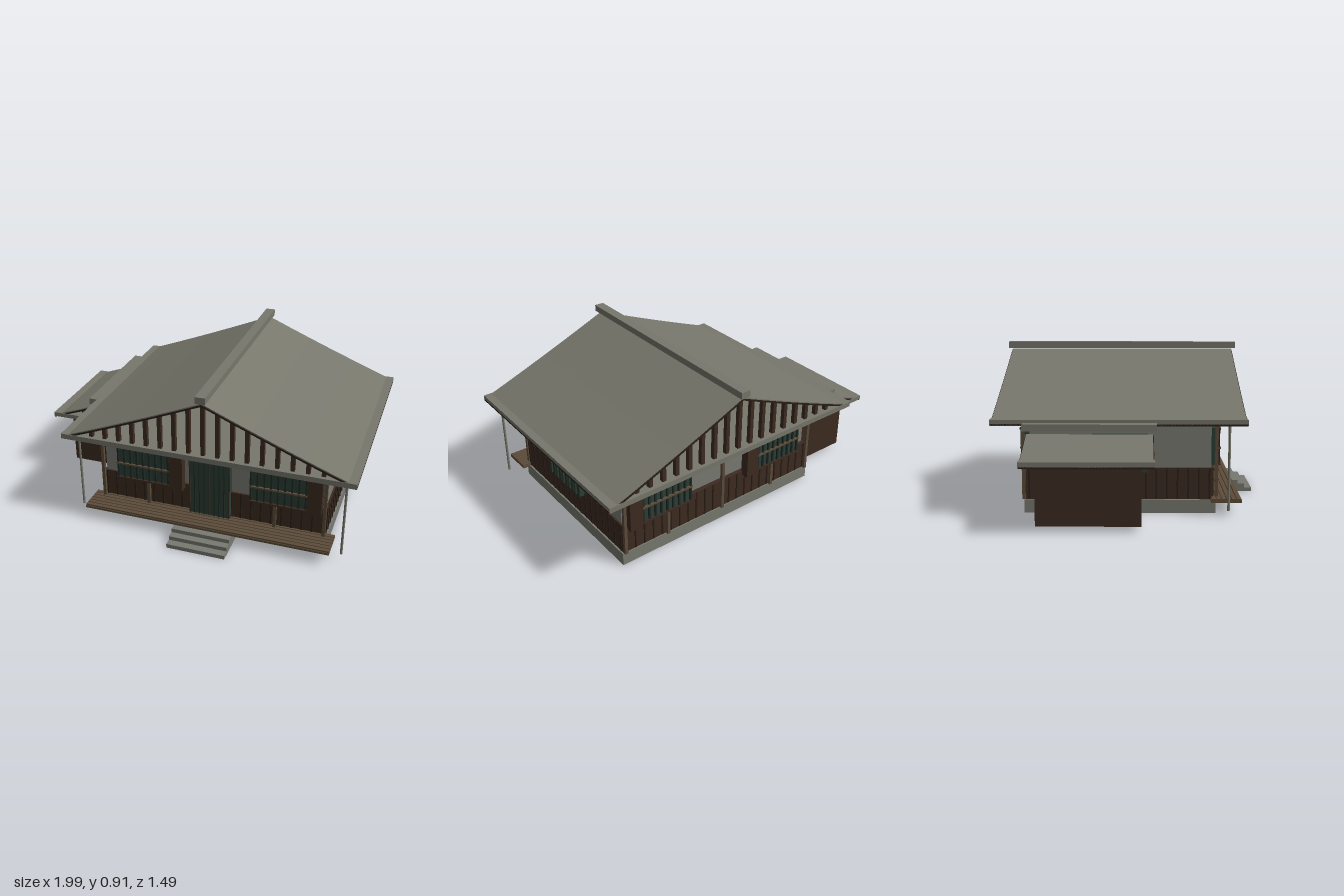
import * as THREE from 'three';

const mat = (name, color) => Object.assign(new THREE.MeshStandardMaterial({ color }), { name });

export function createModel() {
  const M = {
    roof: mat('roof grey', 0x77776c),
    stone: mat('stone grey', 0x787970),
    plaster: mat('plaster grey', 0x7b7b73),
    brown: mat('dark brown wood', 0x3d2b21),
    dark: mat('shadow brown wood', 0x2a1e17),
    trim: mat('tan wood', 0x5d4c3a),
    green: mat('dark green', 0x2c3f37),
    deep: mat('deep green', 0x1f2a25),
  };
  const house = new THREE.Group();
  house.name = 'house';

  const group = (name) => {
    const g = new THREE.Group();
    g.name = name;
    house.add(g);
    return g;
  };
  // Box given by its limits on each axis
  const box = (parent, name, m, x0, x1, y0, y1, z0, z1) => {
    const mesh = new THREE.Mesh(new THREE.BoxGeometry(x1 - x0, y1 - y0, z1 - z0), m);
    mesh.position.set((x0 + x1) / 2, (y0 + y1) / 2, (z0 + z1) / 2);
    mesh.name = name;
    parent.add(mesh);
    return mesh;
  };

  // Gable roof: eave slab, curved slopes, open slatted gables and a ridge cap
  function gableRoof(name, o) {
    const g = group(name);
    const { cx, half, slab, eave, apex, z0, z1 } = o;
    const height = (dx) => {
      const t = 1 - Math.abs(dx) / half;
      return eave + (apex - eave) * t - o.sag * 4 * t * (1 - t);
    };
    const layer = (part, m, top, bottom, za, zb) => {
      const pts = [];
      const n = 12;
      for (let i = 0; i <= n; i++) {
        const dx = -half + (2 * half * i) / n;
        pts.push(new THREE.Vector2(dx, height(dx) - top));
      }
      for (let i = n; i >= 0; i--) {
        const dx = -half + (2 * half * i) / n;
        pts.push(new THREE.Vector2(dx, height(dx) - bottom));
      }
      const geo = new THREE.ExtrudeGeometry(new THREE.Shape(pts), { depth: zb - za, bevelEnabled: false });
      const mesh = new THREE.Mesh(geo, m);
      mesh.position.set(cx, 0, za);
      mesh.name = part;
      g.add(mesh);
    };
    layer('roofSlopes', M.roof, 0, 0.006, z0 + 0.004, z1 - 0.004);
    layer('roofLining', M.dark, 0.006, 0.016, z0, z1);

    box(g, 'eaveSlab', M.roof, cx - half, cx + half, slab[0], slab[1], z0 - 0.003, z1 + 0.003);
    box(g, 'soffit', M.brown, cx - half + 0.02, cx + half - 0.02, slab[0] - 0.004, slab[0], z0 + 0.02, z1 - 0.02);
    box(g, 'ridgeCap', M.roof, cx - 0.028, cx + 0.028, o.cap[0], o.cap[1], z0 - 0.017, z1 + 0.017);

    for (let i = -o.slats; i <= o.slats; i++) {
      const dx = i * o.step;
      const top = height(Math.abs(dx) + 0.012) - 0.012;
      if (top < slab[1] + 0.005) continue;
      for (const z of [z0 + 0.03, z1 - 0.03])
        box(g, 'gableSlat', M.brown, cx + dx - 0.011, cx + dx + 0.011, slab[1], top, z - 0.012, z + 0.012);
    }
  }
  gableRoof('mainRoof', { cx: 0.162, half: 0.832, slab: [0.515, 0.545], eave: 0.528, apex: 0.862,
    sag: 0.006, z0: -0.728, z1: 0.628, cap: [0.868, 0.906], slats: 9, step: 0.082 });
  gableRoof('annexRoof', { cx: -0.705, half: 0.29, slab: [0.36, 0.386], eave: 0.368, apex: 0.475,
    sag: 0.002, z0: -0.537, z1: 0.133, cap: [0.494, 0.53], slats: 2, step: 0.093 });

  // Base and walls
  const body = group('walls');
  box(body, 'foundation', M.stone, -0.51, 0.835, 0, 0.075, -0.577, 0.48);
  box(body, 'plasterWalls', M.plaster, -0.485, 0.815, 0.075, 0.512, -0.545, 0.455);
  box(body, 'lowerBoarding', M.brown, -0.497, 0.825, 0.075, 0.252, -0.57, 0.465);
  box(body, 'annexWalls', M.brown, -0.9, -0.49, 0.035, 0.362, -0.47, 0.07);

  // Cover strips on the lower boarding
  for (let i = 0; i < 23; i++) {
    const x = -0.48 + i * 0.0585;
    for (const z of [0.465, -0.57])
      box(body, 'boardStrip', M.dark, x - 0.004, x + 0.004, 0.078, 0.25, z - 0.004, z + 0.004);
  }
  for (let i = 0; i < 18; i++) {
    const z = -0.55 + i * 0.0585;
    for (const x of [-0.497, 0.825])
      box(body, 'boardStrip', M.dark, x - 0.004, x + 0.004, 0.078, 0.25, z - 0.004, z + 0.004);
  }

  // Timber frame on the front and back
  const frame = group('timberFrame');
  for (const z of [0.483, -0.58]) {
    for (const x of [-0.492, -0.21, 0.162, 0.54, 0.818])
      box(frame, 'wallPost', M.trim, x - 0.009, x + 0.009, 0.076, 0.512, z - 0.009, z + 0.009);
    box(frame, 'topBeam', M.trim, -0.505, 0.83, 0.496, 0.513, z - 0.01, z + 0.01);
    // Ties from the walls to the beam
    for (const x of [-0.492, 0.818])
      box(frame, 'beamEnd', M.trim, x - 0.009, x + 0.009, 0.498, 0.513, Math.min(z, z * 0.93), Math.max(z, z * 0.93));
  }

  // Grilled windows with shutter boxes; side is +1 for the front, -1 for the back
  function grilledWindow(x0, x1, side, zc) {
    const g = group(side > 0 ? 'frontWindow' : 'backWindow');
    const at = (name, m, a, b, y0, y1, d0, d1) => {
      const za = zc + side * d0, zb = zc + side * d1;
      box(g, name, m, a, b, y0, y1, Math.min(za, zb), Math.max(za, zb));
    };
    at('windowPane', M.green, x0, x1, 0.245, 0.455, -0.03, 0.003);
    const n = 8;
    for (let i = 0; i <= n; i++) {
      const x = x0 + ((x1 - x0) * i) / n;
      at('windowBar', M.deep, x - 0.005, x + 0.005, 0.245, 0.457, 0.003, 0.014);
    }
    for (const y of [0.25, 0.343, 0.452])
      at('windowRail', y > 0.3 && y < 0.4 ? M.trim : M.brown, x0 - 0.008, x1 + 0.008, y - 0.005, y + 0.005, 0.006, 0.018);
    at('shutterBox', M.brown, x1 + 0.008, x1 + 0.088, 0.23, 0.46, -0.03, 0.02);
  }
  for (const [side, zc] of [[1, 0.497], [-1, -0.594]]) {
    grilledWindow(-0.385, -0.08, side, zc);
    grilledWindow(0.405, 0.715, side, zc);
  }

  // Slatted side windows
  for (const [name, a, b, face] of [['rightWindow', 0.82, 0.857, 0.857], ['leftWindow', -0.533, -0.49, -0.533]]) {
    const g = group(name);
    box(g, 'sidePane', M.green, a, b, 0.235, 0.442, -0.2, 0.105);
    for (let i = 0; i <= 9; i++) {
      const z = -0.195 + i * 0.0328;
      box(g, 'sideSlat', i % 2 ? M.green : M.deep, face - 0.008, face + 0.008, 0.235, 0.442, z - 0.004, z + 0.004);
    }
  }

  // Front door of upright slats
  const door = group('frontDoor');
  box(door, 'doorPanel', M.green, 0.042, 0.282, 0.09, 0.455, 0.455, 0.494);
  for (let i = 0; i <= 8; i++) {
    const x = 0.046 + i * 0.029;
    box(door, 'doorSlat', i % 4 ? M.deep : M.brown, x - 0.003, x + 0.003, 0.09, 0.455, 0.494, 0.5);
  }

  // Porch deck, its planks and the two slim roof posts
  const porch = group('porch');
  box(porch, 'deckBase', M.trim, -0.555, 0.878, 0.07, 0.083, 0.452, 0.62);
  for (let i = 0; i < 6; i++) {
    const z = 0.455 + i * 0.0275;
    box(porch, 'deckPlank', M.trim, -0.555, 0.878, 0.083, 0.092, z, z + 0.023);
  }
  for (const x of [-0.608, 0.932]) {
    const post = new THREE.Mesh(new THREE.CylinderGeometry(0.007, 0.007, 0.48, 10), M.roof);
    post.position.set(x, 0.28, 0.54);
    post.name = 'porchPost';
    porch.add(post);
  }

  // Entrance steps
  const steps = group('entranceSteps');
  [0.745, 0.702, 0.66].forEach((z, i) =>
    box(steps, 'step', M.stone, -0.005, 0.332, i * 0.0235, (i + 1) * 0.0235, 0.51, z));

  return house;
}
